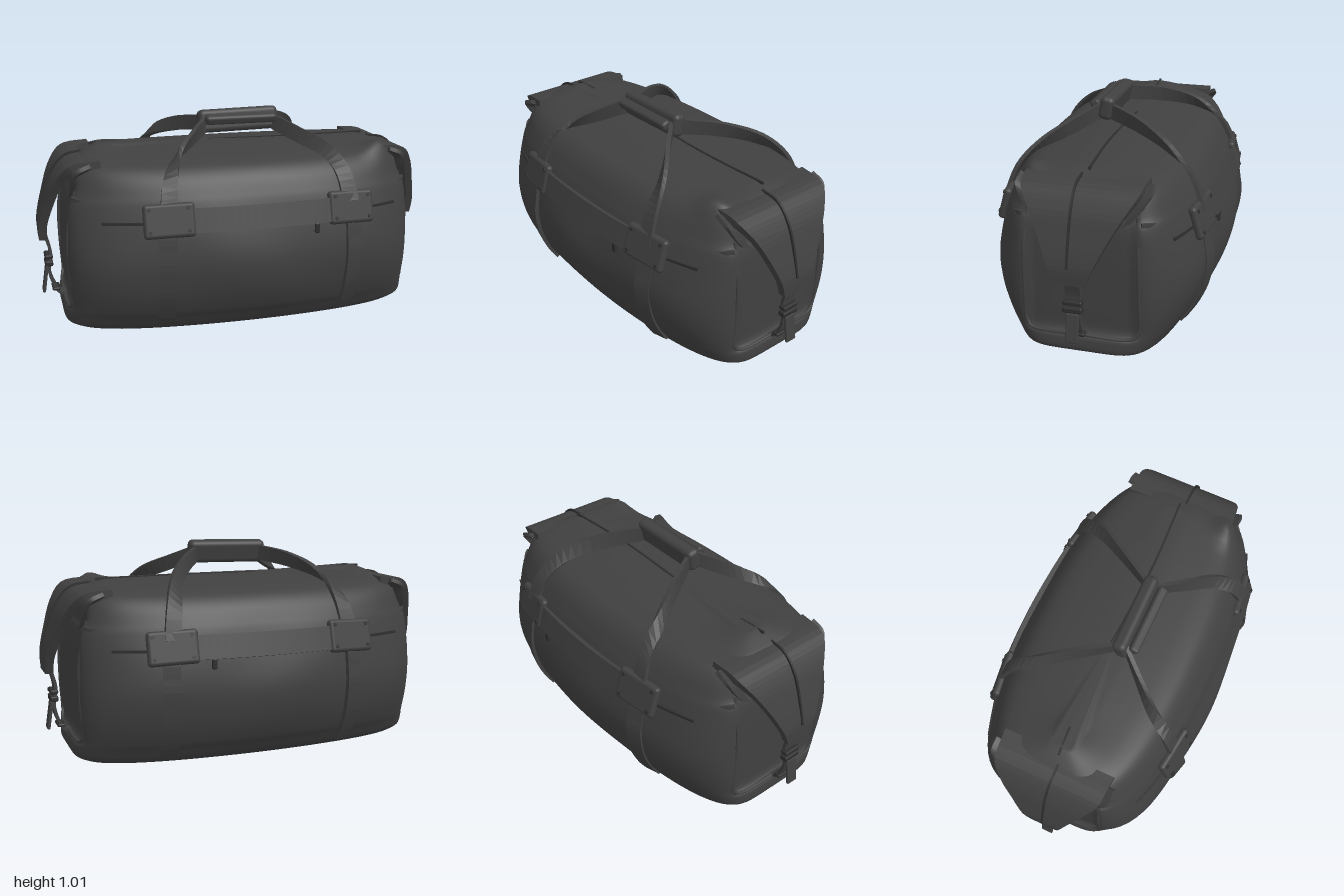
import * as THREE from 'three';
import { RoundedBoxGeometry } from 'three/addons/geometries/RoundedBoxGeometry.js';

const N = 6; // squareness of the plan outline
const BOW = 0.3; // how much the long sides bow in towards the ends
// Body profile from the base up: [y, half length, half depth]
const PROFILE = [
  [0, 0.85, 0.39], [0.02, 0.885, 0.415], [0.07, 0.887, 0.45], [0.11, 0.88, 0.478],
  [0.22, 0.88, 0.525], [0.35, 0.88, 0.545], [0.5, 0.878, 0.52], [0.63, 0.868, 0.478],
  [0.67, 0.845, 0.46], [0.74, 0.825, 0.42], [0.785, 0.81, 0.37], [0.81, 0.78, 0.3],
  [0.826, 0.74, 0.2], [0.84, 0.68, 0.08],
];

// Half length and half depth of the bag at a height
function sizeAt(y) {
  let i = 0;
  while (i < PROFILE.length - 2 && PROFILE[i + 1][0] < y) i++;
  const [a, b] = [PROFILE[i], PROFILE[i + 1]];
  const t = (y - a[0]) / (b[0] - a[0]);
  return [a[1] + (b[1] - a[1]) * t, a[2] + (b[2] - a[2]) * t];
}
const curveOff = (v, h) => Math.pow(Math.max(0, 1 - Math.pow(Math.abs(v) / h, N)), 1 / N);
const bow = (x) => 1 - BOW * x * x;
function bodyZ(x, y) { const [hx, hz] = sizeAt(y); return hz * bow(x) * curveOff(x, hx); }
function bodyX(z, y) { const [hx, hz] = sizeAt(y); return hx * curveOff(z, hz * bow(hx)); }
// Cloth peaks pulled up at the folded ends
const peaks = (x, z) => 0.022 * Math.exp(-(((x + 0.66) / 0.09) ** 2) - (z / 0.16) ** 2)
  + 0.05 * Math.exp(-(((x - 0.71) / 0.08) ** 2) - ((z - 0.28) / 0.07) ** 2);

function bodyGeometry() {
  const curve = new THREE.CatmullRomCurve3(PROFILE.map(([y, a, b]) => new THREE.Vector3(a, y, b)));
  const rows = 56, cols = 144, pos = [], index = [];
  for (let i = 0; i <= rows; i++) {
    const p = curve.getPoint(i / rows);
    for (let j = 0; j < cols; j++) {
      const t = (j / cols) * Math.PI * 2, c = Math.cos(t), s = Math.sin(t);
      const r = Math.pow(Math.abs(c) ** N + Math.abs(s) ** N, -1 / N);
      let x = p.x * c * r, y = Math.max(0, p.y);
      let z = p.z * s * r * bow(x);
      // recessed end panels
      const mid = THREE.MathUtils.smoothstep(y, 0.08, 0.12) * (1 - THREE.MathUtils.smoothstep(y, 0.62, 0.75));
      if (Math.abs(x) > 0.7) x -= Math.sign(x) * 0.025 * mid * (1 - THREE.MathUtils.smoothstep(Math.abs(z), 0.23, 0.27));
      // soft cloth wrinkles and raised ends
      const k = Math.sin(Math.PI * Math.min(1, y / 0.8));
      z += 0.005 * k * Math.sin(x * 9 + y * 7) * Math.sign(s);
      if (y > 0.7) y += peaks(x, z) * Math.min(1, (y - 0.7) / 0.1);
      pos.push(x, y, z);
    }
  }
  for (let i = 0; i < rows; i++) for (let j = 0; j < cols; j++) {
    const a = i * cols + j, b = i * cols + (j + 1) % cols;
    index.push(a, a + cols, b, b, a + cols, b + cols);
  }
  const low = pos.length / 3, top = low + 1, last = rows * cols;
  pos.push(0, 0, 0, 0, 0.843, 0);
  for (let j = 0; j < cols; j++) {
    const k = (j + 1) % cols;
    index.push(low, j, k, top, last + k, last + j);
  }
  const g = new THREE.BufferGeometry();
  g.setAttribute('position', new THREE.Float32BufferAttribute(pos, 3));
  g.setIndex(index);
  g.computeVertexNormals();
  return g;
}

// Flat webbing along a smooth path; widths are half-width vectors at each point
function ribbon(points, widths, thick, steps = 18) {
  const vec = (a) => new THREE.Vector3(...a);
  const path = new THREE.CatmullRomCurve3(points.map(vec));
  const wide = widths.length > 1 ? new THREE.CatmullRomCurve3(widths.map(vec)) : null;
  const pos = [], index = [];
  for (let i = 0; i <= steps; i++) {
    const u = i / steps, p = path.getPoint(u);
    const w = wide ? wide.getPoint(u) : vec(widths[0]);
    const n = path.getTangent(u).cross(w).setLength(thick / 2);
    for (const [a, b] of [[1, 1], [-1, 1], [-1, -1], [1, -1]]) {
      const q = p.clone().addScaledVector(w, a).addScaledVector(n, b);
      pos.push(q.x, q.y, q.z);
    }
  }
  for (let i = 0; i < steps; i++) for (let j = 0; j < 4; j++) {
    const a = i * 4 + j, b = i * 4 + (j + 1) % 4;
    index.push(a, b, a + 4, b, b + 4, a + 4);
  }
  const e = steps * 4;
  index.push(0, 2, 1, 0, 3, 2, e, e + 1, e + 2, e, e + 2, e + 3);
  const g = new THREE.BufferGeometry();
  g.setAttribute('position', new THREE.Float32BufferAttribute(pos, 3));
  g.setIndex(index);
  const flat = g.toNonIndexed();
  flat.computeVertexNormals();
  return flat;
}

export function createModel() {
  const bag = new THREE.Group();
  bag.name = 'duffelBag';
  const fabric = new THREE.MeshStandardMaterial({ color: 0x404040 });
  fabric.name = 'charcoal fabric';
  const trim = new THREE.MeshStandardMaterial({ color: 0x2e2e2e });
  trim.name = 'dark trim';
  const add = (name, geometry, material = fabric, parent = bag) => {
    const m = new THREE.Mesh(geometry, material);
    m.name = name;
    parent.add(m);
    return m;
  };
  const range = (a, b, n) => Array.from({ length: n }, (_, i) => a + ((b - a) * i) / (n - 1));

  add('body', bodyGeometry());

  // Long sides: straps, pads, side band and zip seams
  for (const s of [1, -1]) {
    const side = new THREE.Group();
    side.name = s > 0 ? 'frontSide' : 'backSide';
    bag.add(side);
    const along = (x0, x1, y, off) => range(x0, x1, 9).map((x) => [x, y, s * (bodyZ(x, y) + off)]);
    add('sideBand', ribbon(along(-0.32, 0.38, 0.565, 0.008), [[0, 0.055, -s * 0.016]], 0.03), fabric, side);
    add('zipSeam', ribbon(along(-0.72, 0.74, 0.555, 0.003), [[0, 0.006, 0]], 0.012), trim, side);
    const pull = add('zipPull', new RoundedBoxGeometry(0.025, 0.05, 0.015, 2, 0.006), trim, side);
    pull.position.set(0.29, 0.49, s * (bodyZ(0.29, 0.49) + 0.008));
    for (const cx of [-0.42, 0.475]) {
      const d = Math.sign(cx);
      // lower strap running to the base
      add('lowerStrap', ribbon(range(0.54, 0.03, 10).map((y) => [cx + d * 0.012, y, s * (bodyZ(cx, y) + 0.003)]),
        [[0.04, 0, -s * d * 0.011]], 0.02), fabric, side);
      // pad with corner rivets
      const pad = new THREE.Group();
      pad.name = 'strapPad';
      pad.position.set(cx, 0.57, s * (bodyZ(cx, 0.57) + 0.01));
      pad.rotation.set(-0.28 * s, d * s * 0.14, 0);
      side.add(pad);
      add('padPlate', new RoundedBoxGeometry(0.24, 0.16, 0.04, 3, 0.018), fabric, pad);
      for (const a of [-1, 1]) for (const b of [-1, 1]) {
        const rivet = add('rivet', new THREE.CylinderGeometry(0.009, 0.009, 0.008, 8), trim, pad);
        rivet.rotation.x = Math.PI / 2;
        rivet.position.set(a * 0.09, b * 0.052, s * 0.021);
      }
      // carry strap twisting from the side up to the grip
      const pts = s > 0
        ? [[cx, 0.6, 0.475], [cx * 0.95, 0.735, 0.415], [cx * 0.83, 0.825, 0.315], [d * 0.27 + 0.02, 0.885, 0.2], [d * 0.17 + 0.02, 0.94, 0.09]]
        : [[cx, 0.6, -0.475], [cx * 0.95, 0.735, -0.42], [cx * 0.85, 0.845, -0.3], [d * 0.28 + 0.02, 0.91, -0.13], [d * 0.17 + 0.02, 0.94, 0.05]];
      add('carryStrap', ribbon(pts,
        [[0.04, 0, 0], [0.036, 0.008, 0], [0.022, 0.028, 0], [0.008, 0.037, 0], [0, 0.038, 0]], 0.02), fabric, side);
    }
  }

  // Wrapped grip
  const grip = add('gripWrap', new RoundedBoxGeometry(0.41, 0.115, 0.07, 3, 0.025));
  grip.position.set(0.02, 0.95, 0.065);
  grip.rotation.set(-0.2, 0, 0.02);
  const flap = add('gripFlap', new RoundedBoxGeometry(0.36, 0.045, 0.05, 2, 0.015));
  flap.position.set(0.02, 0.965, 0.125);
  flap.rotation.x = 0.4;

  // Ends: folded flap, closure strap, buckle and pocket
  for (const d of [1, -1]) {
    const end = new THREE.Group();
    end.name = d > 0 ? 'leftEnd' : 'rightEnd';
    bag.add(end);
    const flip = (pts) => pts.map(([x, y, z]) => [d * x, y, z]);
    add('endFlap', ribbon(
      flip([[0.7, 0.802, 0], [0.83, 0.785, 0], [0.89, 0.715, 0], [0.935, 0.6, 0.005], [0.968, 0.48, 0.01], [0.968, 0.4, 0.015]]),
      [[0, 0, 0.28], [0, 0, 0.27], [0, 0, 0.22], [0, 0, 0.155], [0, 0, 0.1], [0, 0, 0.07]], 0.04, 24), fabric, end);
    add('flapSeam', ribbon(
      flip([[0.74, 0.82, 0.02], [0.84, 0.803, 0.02], [0.91, 0.725, 0.02], [0.956, 0.6, 0.02], [0.986, 0.48, 0.02]]),
      [[0, 0, 0.005]], 0.02), trim, end);
    add('closureStrap', ribbon(
      flip([[0.96, 0.42, 0.01], [0.935, 0.32, 0.01], [0.945, 0.22, 0.01], [0.9, 0.11, 0.01], [0.86, 0.095, 0.01]]),
      [[0, 0, 0.035]], 0.015), fabric, end);
    for (const [y, h] of [[0.3, 0.022], [0.265, 0.028], [0.13, 0.016]]) {
      const buckle = add('buckle', new RoundedBoxGeometry(0.04, h, 0.09, 2, 0.008), trim, end);
      buckle.position.set(d * (y > 0.2 ? 0.945 : 0.915), y, 0.01);
    }
    const tail = add('strapTail', new RoundedBoxGeometry(0.015, 0.14, 0.06, 2, 0.006), fabric, end);
    tail.position.set(d * 0.965, 0.18, 0.01);
    tail.rotation.z = d * 0.15;
    // piping round the end panel
    const piping = [[0.68, 0.25], [0.5, 0.262], [0.3, 0.265], [0.13, 0.262], [0.1, 0.235], [0.1, 0],
      [0.1, -0.235], [0.13, -0.262], [0.3, -0.265], [0.5, -0.262], [0.68, -0.25]];
    add('panelPiping', new THREE.TubeGeometry(new THREE.CatmullRomCurve3(
      piping.map(([y, z]) => new THREE.Vector3(d * (bodyX(z, y) - 0.005), y, z)), false, 'centripetal'), 60, 0.009, 6), fabric, end);
    // corner pocket lips and shoulder folds
    for (const s of [1, -1]) {
      const lip = range(0.27, 0.34, 8).map((z) => [d * (bodyX(z, 0.64) + 0.002), 0.64 + 0.01 * Math.sin(z * 30), s * z]);
      add('pocketLip', ribbon(lip, [[0, 0.01, 0]], 0.012), fabric, end);
      add('shoulderFold', ribbon(
        [[d * 0.75, 0.795, s * 0.28], [d * 0.815, 0.765, s * 0.28], [d * 0.83, 0.71, s * 0.25], [d * 0.835, 0.64, s * 0.2]],
        [[0, 0.012, s * 0.025]], 0.02), fabric, end);
    }
  }

  // Centre seam over the top
  add('topSeam', ribbon(range(-0.72, 0.72, 13).map((x) => [x, 0.84 + peaks(x, 0), 0.012 * Math.sin(x * 5)]),
    [[0, 0, 0.005]], 0.012, 40), trim);
  return bag;
}
